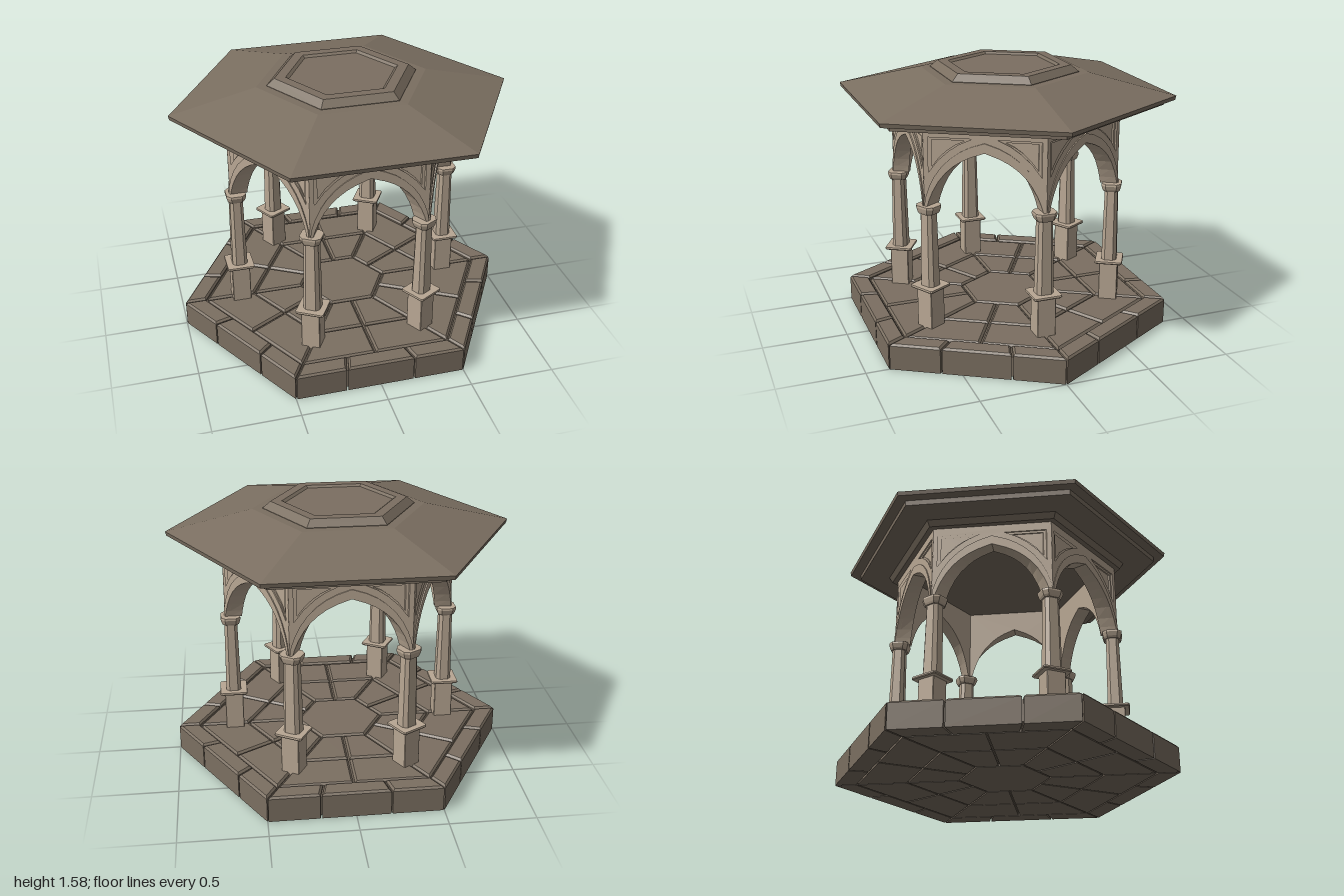
import * as THREE from 'three';

const darkStone = new THREE.MeshStandardMaterial({ color: 0x7b6f61 });
darkStone.name = 'darkStone';
const paleStone = new THREE.MeshStandardMaterial({ color: 0xb8a793 });
paleStone.name = 'paleStone';

const SIDES = 6, STEP = Math.PI / 3;

function faceted(geometry) {
  const g = geometry.index ? geometry.toNonIndexed() : geometry;
  g.computeVertexNormals();
  return g;
}

function addMesh(parent, name, geometry, material) {
  const mesh = new THREE.Mesh(faceted(geometry), material);
  mesh.name = name;
  parent.add(mesh);
  return mesh;
}

// Closed solid through loops of points, bottom to top, counterclockwise from above
function loft(loops) {
  const n = loops[0].length, pos = [];
  const tri = (a, b, c) => pos.push(...a, ...b, ...c);
  for (let k = 0; k < loops.length - 1; k++) {
    const a = loops[k], b = loops[k + 1];
    for (let i = 0; i < n; i++) {
      const j = (i + 1) % n;
      tri(a[i], a[j], b[j]);
      tri(a[i], b[j], b[i]);
    }
  }
  const top = loops[loops.length - 1];
  for (let i = 1; i < n - 1; i++) {
    tri(loops[0][0], loops[0][i + 1], loops[0][i]);
    tri(top[0], top[i], top[i + 1]);
  }
  const g = new THREE.BufferGeometry();
  g.setAttribute('position', new THREE.Float32BufferAttribute(pos, 3));
  return g;
}

// Hexagonal solid from a [radius, height] profile, corners on the x axis
function hexLathe(profile) {
  const pts = profile.map(([r, y]) => new THREE.Vector2(r, y));
  return new THREE.LatheGeometry(pts, SIDES, Math.PI / 6);
}

// Rectangle with cut corners at height y
function cutRect(hx, hz, c, y) {
  return [[hx, hz - c], [hx, c - hz], [hx - c, -hz], [c - hx, -hz],
    [-hx, c - hz], [-hx, hz - c], [c - hx, hz], [hx - c, hz]].map(([x, z]) => [x, y, z]);
}

// Paving stone in one sixth of the hexagon: r from the centre, t along the side
function stone(r0, r1, t0, t1, top, gap, outerGap) {
  const bevel = 0.012;
  const point = (r, t, y) => {
    const a = Math.cos(STEP), b = Math.sin(STEP);
    return [r * (1 - t + t * a), y, -r * t * b];
  };
  const loop = (inset, y) => {
    const g = gap + inset, a = r0 + g, b = r1 - outerGap - inset;
    return [point(a, t0 + g / a, y), point(b, t0 + g / b, y),
      point(b, t1 - g / b, y), point(a, t1 - g / a, y)];
  };
  return loft([loop(0, 0), loop(0, top - bevel), loop(bevel, top)]);
}

function buildBase() {
  const base = new THREE.Group();
  base.name = 'base';
  addMesh(base, 'foundation', hexLathe([[0, 0.015], [0.985, 0.015], [0.985, 0.135], [0, 0.135]]), darkStone);
  addMesh(base, 'centreStone', hexLathe([[0, 0], [0.26, 0], [0.26, 0.14], [0.248, 0.152], [0, 0.152]]), darkStone);
  for (let k = 0; k < SIDES; k++) {
    const side = new THREE.Group();
    side.name = 'baseSide';
    side.rotation.y = k * STEP;
    base.add(side);
    // Rim blocks
    [[0, 0.3], [0.3, 0.7], [0.7, 1]].forEach(([a, b]) =>
      addMesh(side, 'rimBlock', stone(0.87, 1, a, b, 0.158, 0.005, 0), darkStone));
    // Floor paving in two rings
    [[0.265, 0.57], [0.57, 0.87]].forEach(([r0, r1]) => {
      for (const t of [0, 0.5]) {
        addMesh(side, 'floorStone', stone(r0, r1, t, t + 0.5, 0.152, 0.005, 0.005), darkStone);
      }
    });
  }
  return base;
}

function buildPillar() {
  const pillar = new THREE.Group();
  pillar.name = 'pillar';
  addMesh(pillar, 'pedestal', loft([cutRect(0.055, 0.055, 0.003, 0.13), cutRect(0.055, 0.055, 0.003, 0.39)]), paleStone);
  addMesh(pillar, 'pedestalPlate', loft([
    cutRect(0.078, 0.08, 0.008, 0.388), cutRect(0.082, 0.084, 0.008, 0.394),
    cutRect(0.08, 0.082, 0.008, 0.404)]), paleStone);
  addMesh(pillar, 'shaft', loft([cutRect(0.045, 0.05, 0.02, 0.4), cutRect(0.038, 0.042, 0.017, 0.85)]), paleStone);
  addMesh(pillar, 'capital', loft([
    cutRect(0.047, 0.049, 0.02, 0.84), cutRect(0.052, 0.056, 0.022, 0.852),
    cutRect(0.058, 0.064, 0.025, 0.876), cutRect(0.057, 0.062, 0.025, 0.888)]), paleStone);
  return pillar;
}

// Right halves of the arch and its moulding, foot to crown
const ARCH = [[0.322, 0.885], [0.31, 0.925], [0.29, 0.975], [0.257, 1.035], [0.22, 1.083],
  [0.176, 1.124], [0.13, 1.156], [0.08, 1.181], [0, 1.21]];
const TRIM = [[0.338, 0.885], [0.33, 0.94], [0.31, 1.0], [0.28, 1.062], [0.24, 1.12],
  [0.19, 1.17], [0.14, 1.207], [0.08, 1.238], [0, 1.265]];
const SPANDREL = [[0.315, 1.285], [0.07, 1.285], [0.14, 1.253], [0.2, 1.212], [0.262, 1.155], [0.315, 1.085]];
const WALL_HALF = 0.343, WALL_TOP = 1.34, FACE = 0.593;

const mirrored = (half) => [...half, ...half.slice(0, -1).reverse().map(([x, y]) => [-x, y])];
const vectors = (pts) => pts.map(([x, y]) => new THREE.Vector2(x, y));

// Upright plate between two depths, mitred at the hexagon corners
function mitredPlate(shape, z0, z1) {
  const g = new THREE.ExtrudeGeometry(shape, { depth: z1 - z0, bevelEnabled: false });
  g.translate(0, 0, z0);
  const p = g.attributes.position;
  for (let i = 0; i < p.count; i++) p.setX(i, p.getX(i) * p.getZ(i) / FACE);
  return g;
}

function wallShape(spandrelScale) {
  const shape = new THREE.Shape(vectors([...mirrored(ARCH),
    [-WALL_HALF, 0.885], [-WALL_HALF, WALL_TOP], [WALL_HALF, WALL_TOP], [WALL_HALF, 0.885]]));
  if (spandrelScale) {
    for (const s of [1, -1]) {
      const cx = 0.25, cy = 1.23;
      shape.holes.push(new THREE.Path(vectors(SPANDREL.map(([x, y]) =>
        [s * (cx + (x - cx) * spandrelScale), cy + (y - cy) * spandrelScale]))));
    }
  }
  return shape;
}

function buildArchWall() {
  const wall = new THREE.Group();
  wall.name = 'archWall';
  addMesh(wall, 'wallCore', mitredPlate(wallShape(0), 0.513, 0.577), paleStone);
  // Stepped recesses in the spandrels
  addMesh(wall, 'spandrelStep', mitredPlate(wallShape(0.76), 0.577, 0.585), paleStone);
  addMesh(wall, 'wallFace', mitredPlate(wallShape(1), 0.585, FACE), paleStone);
  const trim = new THREE.Shape(vectors([...mirrored(ARCH), ...mirrored(TRIM).reverse()]));
  addMesh(wall, 'archMoulding', mitredPlate(trim, FACE, 0.6), paleStone);
  return wall;
}

function buildRoof() {
  const roof = new THREE.Group();
  roof.name = 'roof';
  addMesh(roof, 'cornice', hexLathe([[0, 1.335], [0.72, 1.335], [0.742, 1.37], [0, 1.37]]), darkStone);
  addMesh(roof, 'eaveSlab', hexLathe([[0, 1.37], [0.93, 1.37], [0.93, 1.402], [0, 1.402]]), darkStone);
  addMesh(roof, 'roofSlope', hexLathe([[0, 1.402], [0.995, 1.402], [1, 1.426], [0.5, 1.543], [0, 1.545]]), darkStone);
  // Raised cap with a shallow sunken panel
  addMesh(roof, 'roofCap', hexLathe([[0.44, 1.54], [0.44, 1.546], [0.395, 1.584], [0.33, 1.584],
    [0.312, 1.572], [0, 1.572]]), darkStone);
  return roof;
}

export function createModel() {
  const model = new THREE.Group();
  model.name = 'pavilion';
  model.add(buildBase(), buildRoof());
  for (let k = 0; k < SIDES; k++) {
    const bay = new THREE.Group();
    bay.name = 'bay';
    bay.rotation.y = k * STEP;
    const pillar = buildPillar();
    pillar.position.x = 0.652;
    bay.add(pillar, buildArchWall());
    model.add(bay);
  }
  return model;
}
